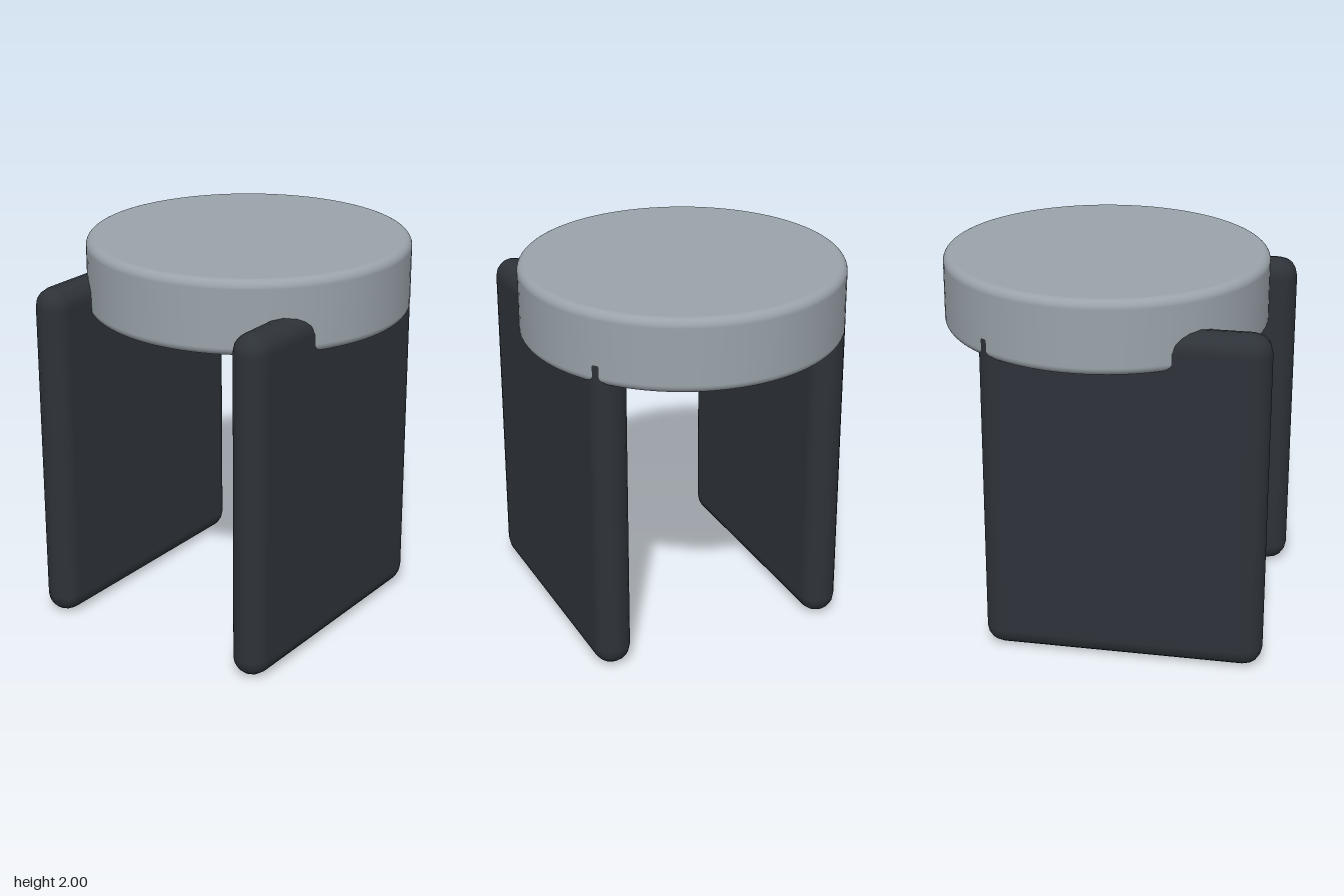
import * as THREE from 'three';
import { RoundedBoxGeometry } from 'three/addons/geometries/RoundedBoxGeometry.js';

const seatMaterial = new THREE.MeshStandardMaterial({ color: 0x9aa3aa });
const legMaterial = new THREE.MeshStandardMaterial({ color: 0x2e3339 });

// Round cushion: a disc whose top and bottom rims are filleted
function makeSeat() {
  const radius = 0.842, bottom = 1.615, top = 2, fillet = 0.045;
  const shape = new THREE.Path();
  shape.moveTo(0, bottom);
  shape.lineTo(radius - fillet, bottom);
  shape.absarc(radius - fillet, bottom + fillet, fillet, -Math.PI / 2, 0, false);
  shape.lineTo(radius, top - fillet);
  shape.absarc(radius - fillet, top - fillet, fillet, 0, Math.PI / 2, false);
  shape.lineTo(0, top);
  const seat = new THREE.Mesh(new THREE.LatheGeometry(shape.getPoints(6), 96), seatMaterial);
  seat.name = 'seat';
  seat.position.x = 0.043;
  return seat;
}

// Upright slab with rounded edges, reaching up into the seat
function makeLeg(name, z) {
  const width = 1.46, height = 1.81, depth = 0.198;
  const leg = new THREE.Mesh(new RoundedBoxGeometry(width, height, depth, 2, 0.099), legMaterial);
  leg.name = name;
  leg.position.set(-0.16, height / 2, z);
  return leg;
}

export function createModel() {
  const model = new THREE.Group();
  model.name = 'stool';
  model.add(makeSeat(), makeLeg('frontLegPanel', 0.61), makeLeg('backLegPanel', -0.61));
  return model;
}
